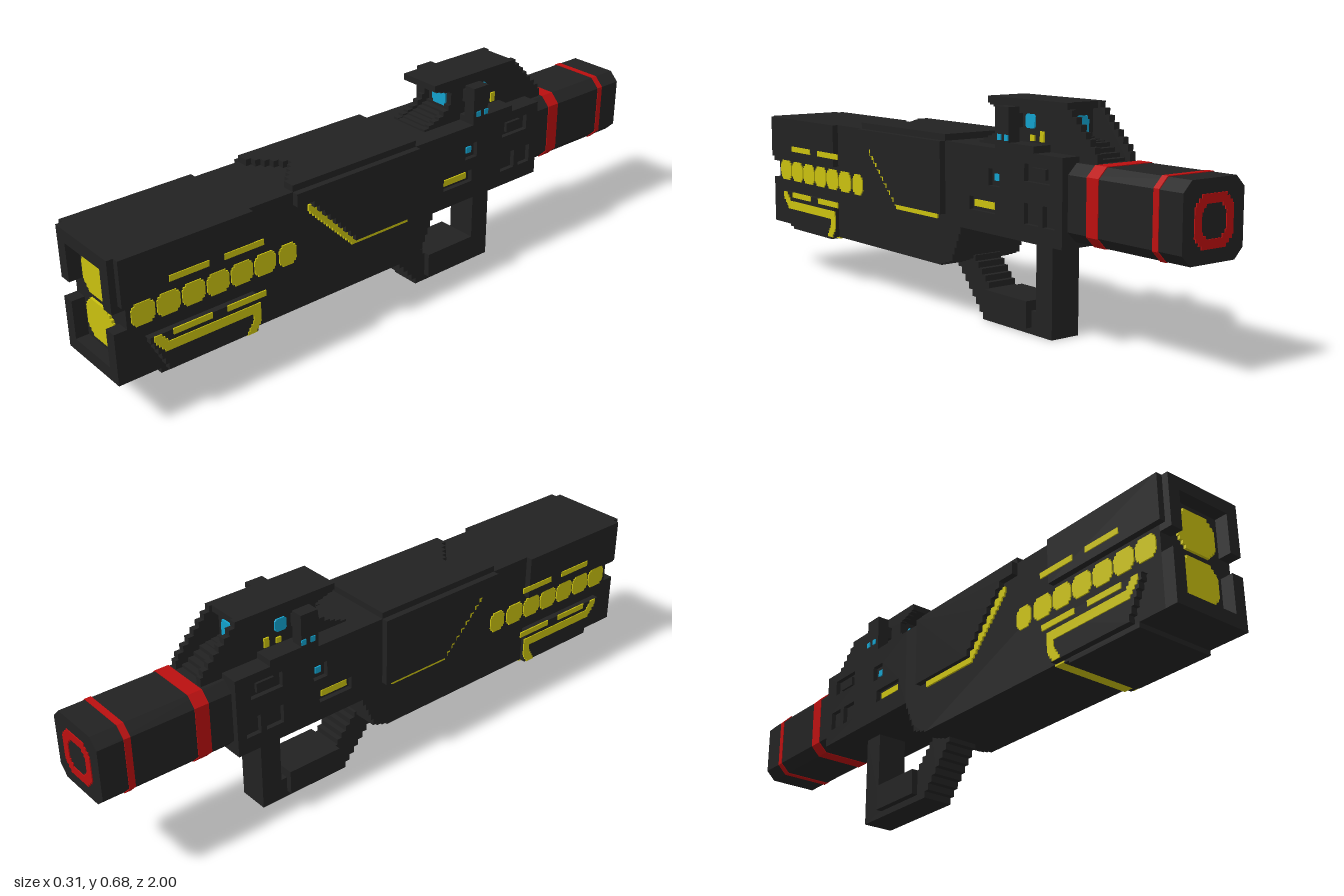
import * as THREE from 'three';

const mat = (name, color) => { const m = new THREE.MeshStandardMaterial({ color }); m.name = name; return m; };

// Turn diagonal edges into small steps
function stepped(pts, size = 0.02) {
  const out = [];
  pts.forEach(([a, b], i) => {
    const [c, d] = pts[(i + 1) % pts.length];
    out.push([a, b]);
    if (Math.abs(c - a) < 1e-6 || Math.abs(d - b) < 1e-6) return;
    const n = Math.max(1, Math.round(Math.max(Math.abs(c - a), Math.abs(d - b)) / size));
    const da = (c - a) / n, db = (d - b) / n;
    for (let k = 0; k < n; k++) {
      out.push([a + da * (k + 0.5), b + db * k], [a + da * (k + 0.5), b + db * (k + 1)]);
    }
  });
  return out;
}
const vecs = pts => pts.map(p => new THREE.Vector2(p[0], p[1]));
const rect = (a0, a1, b0, b1) => [[a0, b0], [a1, b0], [a1, b1], [a0, b1]];
const octagon = (ca, cb, ha, hb, c) => [
  [ca - ha + c, cb - hb], [ca + ha - c, cb - hb], [ca + ha, cb - hb + c], [ca + ha, cb + hb - c],
  [ca + ha - c, cb + hb], [ca - ha + c, cb + hb], [ca - ha, cb + hb - c], [ca - ha, cb - hb + c]];

function extrude(pts, depth, holes = []) {
  const shape = new THREE.Shape(vecs(pts));
  holes.forEach(h => shape.holes.push(new THREE.Path(vecs(h))));
  return new THREE.ExtrudeGeometry(shape, { depth, bevelEnabled: false });
}

export function createModel() {
  const model = new THREE.Group();
  model.name = 'launcher';
  const dark = mat('charcoal', 0x222222), yellow = mat('yellow', 0xc9c00f);
  const red = mat('red', 0xba0f0f), blue = mat('blue', 0x12a0cc);

  const add = (name, geo, m = dark) => {
    const mesh = new THREE.Mesh(geo, m);
    mesh.name = name;
    model.add(mesh);
    return mesh;
  };
  // Box given by its limits
  const box = (name, x0, x1, y0, y1, z0, z1, m) => add(name, new THREE.BoxGeometry(x1 - x0, y1 - y0, z1 - z0)
    .translate((x0 + x1) / 2, (y0 + y1) / 2, (z0 + z1) / 2), m);
  // Side outline of [z, y] points spanning x0..x1
  const side = (name, pts, x0, x1, m, holes) =>
    add(name, extrude(pts, x1 - x0, holes).rotateY(-Math.PI / 2).translate(x1, 0, 0), m);
  // The same outline on both flanks
  const flanks = (name, pts, x0, x1, m, holes) => {
    side(name + 'Left', pts, x0, x1, m, holes);
    side(name + 'Right', pts, -x1, -x0, m, holes);
  };
  // Cross-section of [x, y] points spanning z0..z1
  const section = (name, pts, z0, z1, m, holes) =>
    add(name, extrude(pts, z1 - z0, holes).translate(0, 0, z0), m);

  // Main body
  side('body', stepped([[0.96, 0.16], [-0.02, 0.16], [-0.08, 0.18], [-0.13, 0.29], [-0.13, 0.54], [0.96, 0.54]]), -0.13, 0.13);

  // Muzzle frame in two halves, with the gap between them at the sides
  section('muzzleFrameTop', [[-0.13, 0.38], [-0.09, 0.38], [-0.09, 0.5], [0.09, 0.5], [0.09, 0.38], [0.13, 0.38], [0.13, 0.54], [-0.13, 0.54]], 0.96, 1);
  section('muzzleFrameBottom', [[-0.13, 0.32], [-0.13, 0.16], [0.13, 0.16], [0.13, 0.32], [0.09, 0.32], [0.09, 0.2], [-0.09, 0.2], [-0.09, 0.32]], 0.96, 1);
  for (const y of [0.28, 0.42]) {
    section('muzzleLens', stepped(octagon(0, y, 0.07, 0.06, 0.03), 0.01), 0.96, 0.968, yellow);
  }

  // Front armour
  flanks('upperArmour', rect(0.56, 0.98, 0.40, 0.54), 0.13, 0.15);
  flanks('lowerArmour', stepped([[0.91, 0.28], [0.85, 0.16], [0.56, 0.16], [0.56, 0.28]]), 0.13, 0.15);
  side('underPod', stepped([[0.88, 0.16], [0.86, 0.145], [0.62, 0.145], [0.58, 0.16]]), -0.13, 0.13);
  box('underStripe', -0.13, 0.13, 0.155, 0.161, 0.555, 0.595, yellow);

  // Row of side lights and the strips above and below
  for (let i = 0; i < 7; i++) {
    const w = i === 6 ? 0.03 : 0.036;
    flanks('sideLight', stepped(octagon(0.91 - i * 0.079, 0.353, w, 0.034, 0.015), 0.01), 0.129, 0.134, yellow);
  }
  for (const [a, b] of [[0.71, 0.835], [0.53, 0.66]]) {
    flanks('upperStrip', rect(a, b, 0.427, 0.445), 0.149, 0.153, yellow);
    flanks('lowerStrip', rect(a, b, 0.264, 0.282), 0.149, 0.153, yellow);
  }
  flanks('pipeStripe', stepped([[0.895, 0.28], [0.875, 0.28], [0.85, 0.25], [0.55, 0.25], [0.55, 0.19], [0.57, 0.16],
    [0.6, 0.16], [0.575, 0.2], [0.575, 0.222], [0.86, 0.222], [0.895, 0.262]], 0.01), 0.149, 0.153, yellow);

  // Middle armour, its glowing lower edge and the notched cap
  flanks('middleArmour', stepped([[0.41, 0.54], [0.41, 0.5], [0.36, 0.5], [0.19, 0.32], [-0.05, 0.32], [-0.05, 0.54]]), 0.13, 0.15);
  flanks('armourGlow', stepped([[0.36, 0.485], [0.36, 0.465], [0.2, 0.302], [-0.015, 0.302], [-0.015, 0.322], [0.185, 0.322], [0.34, 0.485]], 0.01), 0.129, 0.136, yellow);
  add('topCap', extrude(stepped([[-0.13, 0.05], [-0.13, -0.41], [-0.1, -0.41], [0, -0.32], [0.1, -0.41], [0.13, -0.41], [0.13, 0.05]]), 0.02)
    .rotateX(-Math.PI / 2).translate(0, 0.54, 0));

  // Receiver with recessed side windows
  box('receiver', -0.115, 0.115, 0.29, 0.54, -0.58, -0.13);
  flanks('receiverPanel', rect(-0.58, -0.13, 0.29, 0.54), 0.115, 0.13, dark, [
    rect(-0.53, -0.42, 0.46, 0.51), rect(-0.48, -0.42, 0.34, 0.4), rect(-0.55, -0.5, 0.34, 0.4),
    rect(-0.31, -0.26, 0.43, 0.48), rect(-0.29, -0.17, 0.35, 0.39)]);
  flanks('windowBlock', rect(-0.505, -0.445, 0.47, 0.5), 0.115, 0.125);
  flanks('receiverSlot', rect(-0.275, -0.18, 0.36, 0.38), 0.114, 0.12, yellow);
  flanks('receiverLamp', rect(-0.295, -0.275, 0.445, 0.465), 0.114, 0.12, blue);

  // Rear tube with red bands and a red ring on its end
  const tube = grow => octagon(0, 0.415, 0.11 + grow, 0.108 + grow, 0.03);
  section('rearTube', tube(0), -1, -0.58);
  section('wideBand', tube(0.002), -0.7, -0.655, red);
  section('narrowBand', tube(0.002), -0.92, -0.9, red);
  section('endRing', stepped(octagon(0, 0.415, 0.07, 0.07, 0.03), 0.01), -1.003, -0.999, red,
    [stepped(octagon(0, 0.415, 0.045, 0.045, 0.02), 0.01)]);

  // Hand grip loop below the receiver
  side('gripLoop', stepped([[0, 0.165], [-0.14, 0], [-0.45, 0], [-0.45, 0.29], [-0.38, 0.29], [-0.38, 0.07],
    [-0.17, 0.07], [-0.17, 0.1], [-0.085, 0.19], [0, 0.19]]), -0.05, 0.05);
  box('gripPad', -0.07, 0.07, 0.02, 0.1, -0.36, -0.17);

  // Sight: sloped walls, roof and a recessed core with a lens at each end
  flanks('sightWall', stepped([[-0.13, 0.54], [-0.21, 0.57], [-0.25, 0.6], [-0.25, 0.64], [-0.18, 0.66], [-0.18, 0.68],
    [-0.52, 0.68], [-0.65, 0.55], [-0.65, 0.51], [-0.13, 0.51]]), 0.05, 0.07);
  box('sightRoof', -0.05, 0.05, 0.66, 0.68, -0.52, -0.18);
  side('sightCore', stepped([[-0.13, 0.54], [-0.21, 0.56], [-0.27, 0.58], [-0.27, 0.66], [-0.5, 0.66], [-0.5, 0.58],
    [-0.56, 0.57], [-0.64, 0.52], [-0.64, 0.51], [-0.13, 0.51]]), -0.05, 0.05);
  const lens = stepped(octagon(0, 0.61, 0.03, 0.03, 0.01), 0.01);
  section('frontSightLens', lens, -0.271, -0.263, blue);
  section('rearSightLens', lens, -0.507, -0.499, blue);

  // Posts beside the sight, with links and indicator lamps
  flanks('sightPost', rect(-0.35, -0.29, 0.54, 0.66), 0.09, 0.13);
  flanks('sightRail', rect(-0.46, -0.29, 0.54, 0.56), 0.07, 0.13);
  flanks('sightLink', rect(-0.34, -0.3, 0.6, 0.64), 0.07, 0.09);
  flanks('sideLens', octagon(-0.378, 0.62, 0.02, 0.02, 0.006), 0.069, 0.075, blue);
  for (const [z, m] of [[-0.31, blue], [-0.342, blue]]) {
    flanks('postLamp', rect(z - 0.008, z + 0.008, 0.565, 0.582), 0.129, 0.133, m);
  }
  flanks('wallLamp', rect(-0.395, -0.378, 0.565, 0.582), 0.069, 0.075, yellow);
  flanks('wallLampTall', rect(-0.437, -0.42, 0.565, 0.595), 0.069, 0.075, yellow);

  return model;
}
